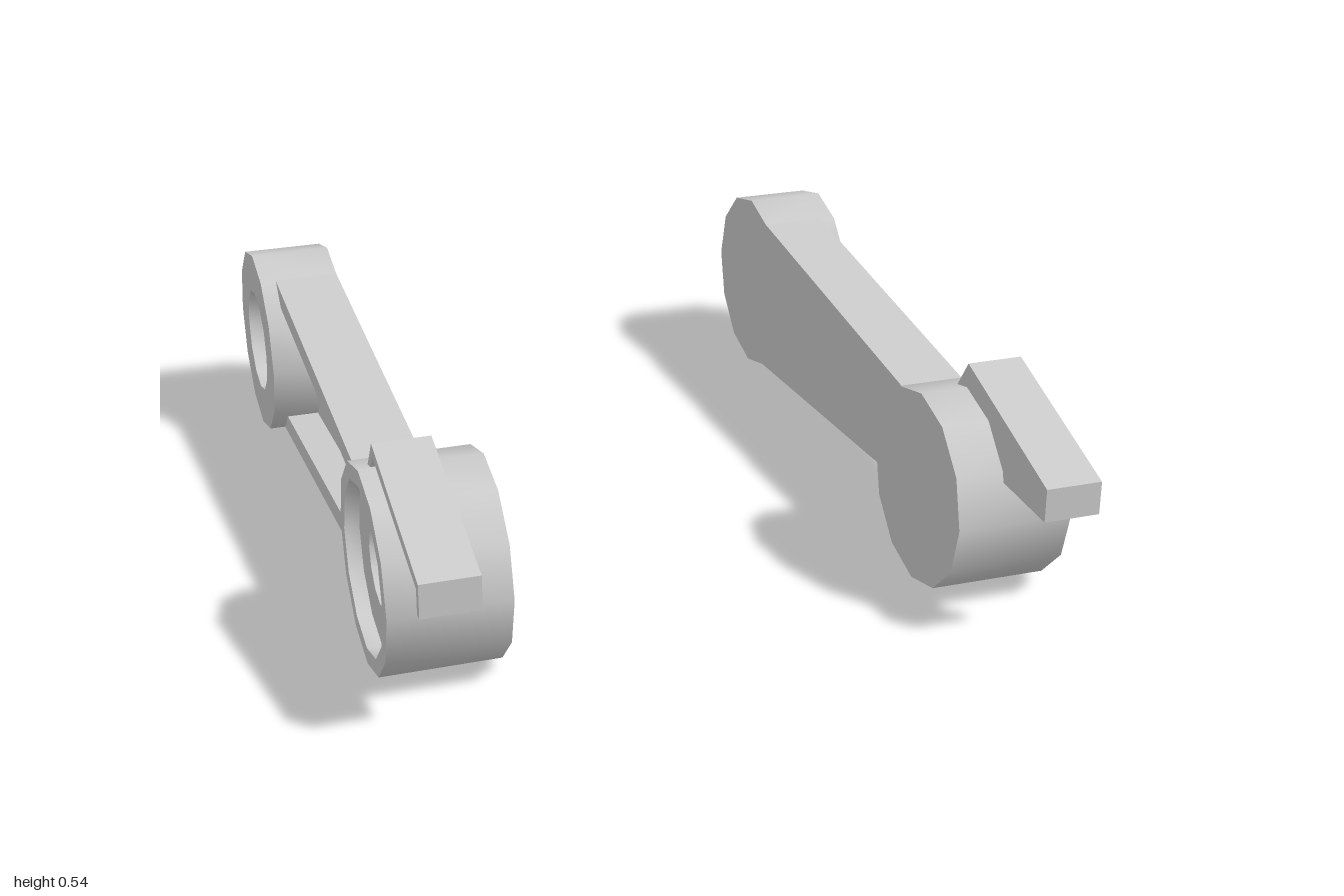
import * as THREE from 'three';
import { toCreasedNormals } from 'three/addons/utils/BufferGeometryUtils.js';

const material = new THREE.MeshStandardMaterial({ color: 0xcccccc });
const R = 0.24; // hub radius, also the height of both hub centres

// Mirror a non-indexed geometry across x = 0 and restore its winding.
function mirrorX(geometry) {
  geometry.scale(-1, 1, 1);
  for (const name of ['position', 'normal']) {
    const a = geometry.attributes[name];
    for (let i = 0; i < a.count; i += 3) {
      const b = [a.getX(i + 1), a.getY(i + 1), a.getZ(i + 1)];
      a.setXYZ(i + 1, a.getX(i + 2), a.getY(i + 2), a.getZ(i + 2));
      a.setXYZ(i + 2, ...b);
    }
  }
  return geometry;
}

// Twelve-sided hub turned about the x axis; profile points are [radius, x].
function hub(profile, z) {
  const points = profile.map(([r, x]) => new THREE.Vector2(r, x));
  const g = new THREE.LatheGeometry(points, 12);
  g.rotateZ(-Math.PI / 2);
  g.translate(0, R, z);
  return toCreasedNormals(g, 0.6);
}

// Side profile of [z, y] points, extruded from x0 to x1.
function plate(profile, x0, x1) {
  const shape = new THREE.Shape(profile.map(([z, y]) => new THREE.Vector2(-z, y)));
  const g = new THREE.ExtrudeGeometry(shape, { depth: x1 - x0, bevelEnabled: false });
  g.rotateY(Math.PI / 2);
  g.translate(x0, 0, 0);
  return toCreasedNormals(g, 0.6);
}

// Height of a tapering arm edge above or below the centre line.
const edge = (z) => 0.12 + (0.37 - z) * 0.088;
const lip = 0.05;
const armFront = 0.5, armBack = -0.7;

function armParts() {
  const outline = [
    [armFront, R + edge(armFront)], [armBack, R + edge(armBack)],
    [armBack, R - edge(armBack)], [armFront, R - edge(armFront)],
  ];
  const rail = (s) => [
    [armFront, R + s * edge(armFront)], [armBack, R + s * edge(armBack)],
    [armBack, R + s * (edge(armBack) - lip)], [armFront, R + s * (edge(armFront) - lip)],
  ];
  return {
    // Stepped face with a small central socket
    frontHub: hub([[0, 0.52], [R, 0.52], [R, 0.8], [0.2, 0.8], [0.2, 0.765],
      [0.095, 0.765], [0.095, 0.725], [0, 0.725]], 0.58),
    // Flat face with one wide socket
    rearHub: hub([[0, 0.6], [R, 0.6], [R, 0.8], [0.135, 0.8], [0.135, 0.75], [0, 0.75]], -0.76),
    // Channel-section arm, open on the outside
    armWeb: plate(outline, 0.6, 0.68),
    armTopRail: plate(rail(1), 0.68, 0.76),
    armBottomRail: plate(rail(-1), 0.68, 0.76),
    // Pointed lever on the front hub, hollowed on the outside
    leverWeb: plate([[1, 0.335], [1, 0.415], [0.58, 0.54], [0.525, 0.46],
      [0.6, 0.4], [0.75, 0.335]], 0.635, 0.7),
    leverRim: plate([[1, 0.335], [1, 0.415], [0.58, 0.54], [0.525, 0.46],
      [0.55, 0.46], [0.587, 0.51], [0.98, 0.395], [0.98, 0.335]], 0.7, 0.768),
  };
}

export function createModel() {
  const model = new THREE.Group();
  model.name = 'armPair';
  for (const side of ['left', 'right']) {
    const arm = new THREE.Group();
    arm.name = side + 'Arm';
    for (const [name, geometry] of Object.entries(armParts())) {
      const mesh = new THREE.Mesh(side === 'left' ? geometry : mirrorX(geometry), material);
      mesh.name = name;
      arm.add(mesh);
    }
    model.add(arm);
  }
  return model;
}
